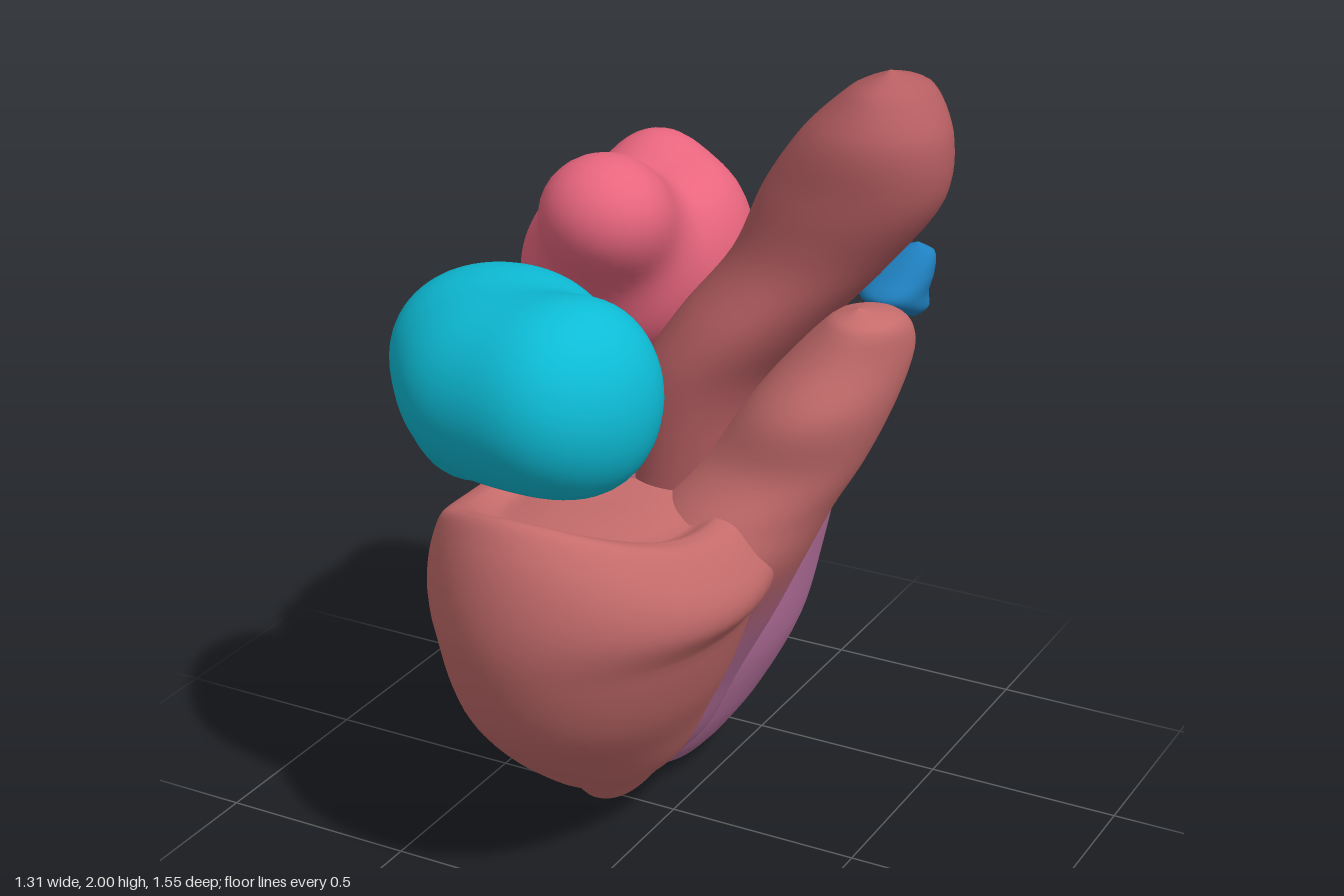
import * as THREE from 'three';
import { mergeVertices } from 'three/addons/utils/BufferGeometryUtils.js';

const RED = 0xc66c6c, PURPLE = 0xb5709c;
const SEG = 56, STEPS = 6;

function mesh(name, geometry, color) {
  const m = new THREE.Mesh(geometry, new THREE.MeshStandardMaterial({ color }));
  m.name = name;
  return m;
}

// Smooth skin over horizontal elliptical rings: [y, centreX, centreZ, radiusX, radiusZ]
function loft(rings, bend = (p) => p) {
  const centre = new THREE.CatmullRomCurve3(rings.map(([y, x, z]) => new THREE.Vector3(x, y, z)));
  const radius = new THREE.CatmullRomCurve3(rings.map(([y, , , rx, rz]) => new THREE.Vector3(rx, y, rz)));
  const rows = (rings.length - 1) * STEPS;
  const pos = [], index = [];
  for (let j = 0; j <= rows; j++) {
    const c = centre.getPoint(j / rows), r = radius.getPoint(j / rows);
    for (let i = 0; i < SEG; i++) {
      const a = (i / SEG) * Math.PI * 2;
      const p = bend(new THREE.Vector3(
        c.x + Math.max(r.x, 0.0005) * Math.cos(a), c.y, c.z + Math.max(r.z, 0.0005) * Math.sin(a)));
      pos.push(p.x, Math.max(p.y, 0), p.z);
      if (j === rows) continue;
      const k = j * SEG + i, n = j * SEG + (i + 1) % SEG;
      index.push(k, k + SEG, n, n, k + SEG, n + SEG);
    }
  }
  const g = new THREE.BufferGeometry();
  g.setAttribute('position', new THREE.Float32BufferAttribute(pos, 3));
  g.setIndex(index);
  g.computeVertexNormals();
  return g;
}

// Sphere pushed out to the surface of softly merged ellipsoids: [x, y, z, rx, ry, rz]
function blob(origin, balls) {
  const o = new THREE.Vector3(...origin);
  const field = (p) => balls.reduce((s, [x, y, z, rx, ry, rz]) => s + Math.exp(
    1 - ((p.x - x) / rx) ** 2 - ((p.y - y) / ry) ** 2 - ((p.z - z) / rz) ** 2), 0);
  let g = new THREE.SphereGeometry(1, 64, 44);
  g.deleteAttribute('uv');
  g.deleteAttribute('normal');
  g = mergeVertices(g);
  const at = g.attributes.position, d = new THREE.Vector3(), p = new THREE.Vector3();
  for (let i = 0; i < at.count; i++) {
    d.fromBufferAttribute(at, i).normalize();
    let lo = 0, hi = 1;
    for (let n = 0; n < 18; n++) {
      const mid = (lo + hi) / 2;
      if (field(p.copy(o).addScaledVector(d, mid)) > 1) lo = mid; else hi = mid;
    }
    p.copy(o).addScaledVector(d, lo);
    at.setXYZ(i, p.x, p.y, p.z);
  }
  g.computeVertexNormals();
  return g;
}

// Cuts a loft into bands of rows, shading from purple below to red above
function shadedBands(name, geometry, yLow, yHigh) {
  const group = new THREE.Group();
  group.name = name;
  const all = Array.from(geometry.index.array), at = geometry.attributes.position;
  const bands = new Map();
  for (let s = 0; s < all.length; s += SEG * 6) {
    const t = THREE.MathUtils.smoothstep(at.getY(all[s]), yLow, yHigh);
    const key = Math.round(t * 10) / 10;
    bands.set(key, (bands.get(key) || []).concat(all.slice(s, s + SEG * 6)));
  }
  for (const [t, index] of bands) {
    const g = new THREE.BufferGeometry();
    g.setAttribute('position', geometry.attributes.position);
    g.setAttribute('normal', geometry.attributes.normal);
    g.setIndex(index);
    group.add(mesh(name + 'Band', g, new THREE.Color(PURPLE).lerp(new THREE.Color(RED), t)));
  }
  return group;
}

export function createModel() {
  const heart = new THREE.Group();
  heart.name = 'heart';

  // Large rear chamber, tapering to the apex
  heart.add(shadedBands('leftVentricle', loft([
    [0.0, -0.17, -0.26, 0, 0],
    [0.02, -0.17, -0.26, 0.08, 0.12],
    [0.1, -0.17, -0.25, 0.16, 0.25],
    [0.2, -0.17, -0.27, 0.23, 0.33],
    [0.4, -0.18, -0.3, 0.34, 0.41],
    [0.6, -0.19, -0.31, 0.4, 0.45],
    [0.85, -0.2, -0.32, 0.455, 0.465],
    [1.0, -0.195, -0.32, 0.45, 0.455],
    [1.12, -0.18, -0.325, 0.41, 0.415],
    [1.2, -0.17, -0.34, 0.36, 0.355],
    [1.25, -0.18, -0.36, 0.27, 0.27],
    [1.275, -0.2, -0.38, 0, 0],
  ]), 0.72, 1.12));

  // Front chamber, its top sunk into a shallow bowl with a drooping rim
  const droop = (p) => {
    p.y -= Math.max(0, p.y - 0.7) * (p.x + 0.04) ** 2 * 3.3;
    return p;
  };
  heart.add(mesh('rightVentricle', loft([
    [0.0, -0.18, -0.03, 0, 0],
    [0.02, -0.18, -0.03, 0.06, 0.1],
    [0.1, -0.16, -0.02, 0.11, 0.19],
    [0.2, -0.13, 0.06, 0.17, 0.26],
    [0.35, -0.11, 0.15, 0.24, 0.36],
    [0.5, -0.085, 0.22, 0.3, 0.43],
    [0.7, -0.055, 0.27, 0.355, 0.47],
    [0.85, -0.035, 0.28, 0.39, 0.482],
    [1.0, -0.035, 0.27, 0.385, 0.47],
    [1.08, -0.05, 0.27, 0.34, 0.42],
    [1.05, -0.05, 0.27, 0.29, 0.36],
    [0.97, -0.05, 0.26, 0.22, 0.28],
    [0.95, -0.05, 0.25, 0, 0],
  ], droop), RED));

  // Outflow neck: fills the groove between the chambers and rises out of it
  heart.add(shadedBands('outflowTract', loft([
    [0.01, -0.17, -0.12, 0, 0],
    [0.06, -0.16, -0.11, 0.07, 0.12],
    [0.2, -0.1, -0.07, 0.14, 0.18],
    [0.4, -0.03, -0.04, 0.175, 0.22],
    [0.6, 0.05, -0.01, 0.205, 0.25],
    [0.8, 0.145, 0.04, 0.215, 0.27],
    [0.93, 0.22, 0.02, 0.2, 0.225],
    [1.05, 0.3, -0.01, 0.185, 0.19],
    [1.2, 0.38, -0.04, 0.165, 0.205],
    [1.33, 0.44, -0.08, 0.13, 0.17],
    [1.41, 0.475, -0.05, 0.08, 0.1],
    [1.44, 0.47, -0.02, 0, 0],
  ]), 0.4, 0.85));

  // Thick leaning artery
  heart.add(mesh('aorta', loft([
    [0.95, 0.02, -0.06, 0.15, 0.19],
    [1.2, 0.07, -0.05, 0.16, 0.2],
    [1.35, 0.17, -0.09, 0.18, 0.225],
    [1.52, 0.31, -0.1, 0.19, 0.18],
    [1.7, 0.42, -0.09, 0.215, 0.175],
    [1.85, 0.48, -0.08, 0.17, 0.165],
    [1.95, 0.505, -0.09, 0.09, 0.12],
    [2.0, 0.515, -0.06, 0, 0],
  ]), 0xb65e62));

  // Lumpy rear upper chamber
  heart.add(mesh('leftAtrium', blob([-0.19, 1.46, -0.16], [
    [-0.22, 1.39, -0.2, 0.17, 0.18, 0.22],
    [-0.19, 1.4, -0.05, 0.15, 0.16, 0.13],
    [-0.23, 1.47, -0.36, 0.14, 0.19, 0.12],
    [-0.2, 1.29, -0.37, 0.16, 0.09, 0.11],
    [-0.06, 1.4, -0.29, 0.09, 0.17, 0.13],
    [-0.32, 1.4, -0.12, 0.085, 0.13, 0.16],
    [-0.16, 1.54, 0.0, 0.12, 0.13, 0.13],
    [-0.11, 1.62, 0.13, 0.145, 0.13, 0.135],
  ]), 0xe9667f));

  // Smooth front upper chamber
  heart.add(mesh('rightAtrium', blob([-0.17, 1.28, 0.42], [
    [-0.36, 1.18, 0.31, 0.155, 0.2, 0.17],
    [-0.34, 1.35, 0.34, 0.15, 0.125, 0.17],
    [-0.18, 1.31, 0.42, 0.18, 0.17, 0.21],
    [-0.2, 1.3, 0.28, 0.14, 0.15, 0.11],
    [-0.2, 1.3, 0.54, 0.15, 0.15, 0.13],
    [0.0, 1.33, 0.56, 0.16, 0.19, 0.18],
    [0.06, 1.31, 0.46, 0.12, 0.17, 0.13],
  ]), 0x0dbcd6));

  // Small leaf at the mouth of the outflow neck
  heart.add(mesh('valveLeaf', loft([
    [1.33, 0.49, -0.3, 0, 0],
    [1.37, 0.475, -0.265, 0.06, 0.065],
    [1.41, 0.46, -0.24, 0.08, 0.095],
    [1.46, 0.475, -0.255, 0.075, 0.07],
    [1.51, 0.5, -0.27, 0.045, 0.035],
    [1.53, 0.505, -0.27, 0, 0],
  ]), 0x1f80bf));

  return heart;
}
